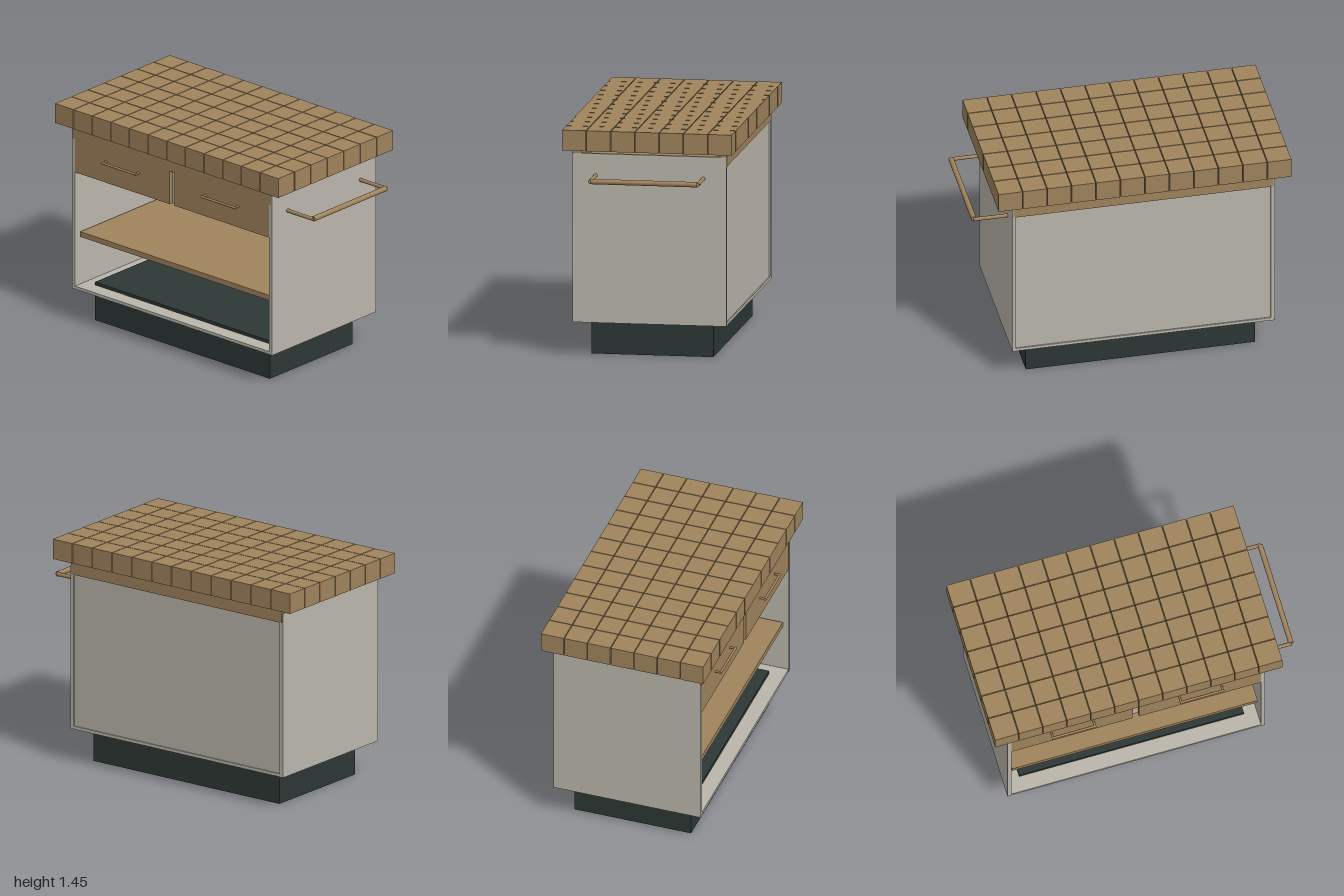
import * as THREE from 'three';

export function createModel() {
  const model = new THREE.Group();
  model.name = 'kitchenIsland';
  const mat = (name, color) => {
    const m = new THREE.MeshStandardMaterial({ color });
    m.name = name;
    return m;
  };
  const wood = mat('wood', 0x9f835c);
  const paint = mat('greyPaint', 0xbab6ab);
  const dark = mat('darkPlinth', 0x2d3735);

  const add = (name, geometry, material, x, y, z, parent = model) => {
    const mesh = new THREE.Mesh(geometry, material);
    mesh.name = name;
    mesh.position.set(x, y, z);
    parent.add(mesh);
    return mesh;
  };
  // Box given by its limits on each axis
  const box = (name, material, [x0, x1], [y0, y1], [z0, z1], parent) =>
    add(name, new THREE.BoxGeometry(x1 - x0, y1 - y0, z1 - z0), material,
      (x0 + x1) / 2, (y0 + y1) / 2, (z0 + z1) / 2, parent);
  // Round bar along one axis
  const rod = (name, axis, radius, length, x, y, z, parent) => {
    const g = new THREE.CylinderGeometry(radius, radius, length, 16);
    if (axis === 'x') g.rotateZ(Math.PI / 2);
    if (axis === 'z') g.rotateX(Math.PI / 2);
    return add(name, g, wood, x, y, z, parent);
  };

  // Plinth, rising just through the cabinet floor
  box('plinth', dark, [-0.8, 0.66], [0, 0.255], [-0.385, 0.385]);

  // Cabinet shell
  box('floorPanel', paint, [-0.88, 0.742], [0.215, 0.235], [-0.483, 0.483]);
  box('rightPanel', paint, [-0.905, -0.88], [0.215, 1.285], [-0.485, 0.485]);
  box('leftPanel', paint, [0.742, 0.767], [0.215, 1.285], [-0.485, 0.485]);
  box('backPanel', paint, [-0.88, 0.742], [0.235, 1.285], [-0.475, -0.455]);
  box('drawerDivider', paint, [-0.09, -0.05], [1.0, 1.225], [-0.455, 0.455]);
  box('shelf', wood, [-0.865, 0.73], [0.56, 0.595], [-0.45, 0.45]);

  // Rails carrying the worktop
  box('frontRail', wood, [-0.897, 0.76], [1.225, 1.316], [0.43, 0.487]);
  box('backRail', wood, [-0.897, 0.76], [1.225, 1.316], [-0.487, -0.43]);

  // Drawers with bar handles
  for (const [x0, x1] of [[-0.88, -0.09], [-0.05, 0.742]]) {
    const drawer = new THREE.Group();
    drawer.name = 'drawer';
    model.add(drawer);
    box('drawerBox', wood, [x0, x1], [1.0, 1.225], [-0.45, 0.482], drawer);
    const cx = (x0 + x1) / 2 + 0.003;
    rod('drawerHandleBar', 'x', 0.008, 0.288, cx, 1.142, 0.517, drawer);
    for (const s of [-1, 1])
      rod('drawerHandlePost', 'z', 0.007, 0.04, cx + s * 0.136, 1.142, 0.499, drawer);
  }

  // Towel bar on the left side
  const towelBar = new THREE.Group();
  towelBar.name = 'towelBar';
  model.add(towelBar);
  rod('towelRod', 'z', 0.017, 0.675, 0.98, 1.147, 0, towelBar);
  for (const s of [-1, 1])
    rod('towelArm', 'x', 0.012, 0.225, 0.87, 1.147, s * 0.34, towelBar);

  // Butcher-block worktop: 12 by 7 blocks with narrow joints
  const top = new THREE.Group();
  top.name = 'worktop';
  model.add(top);
  const nx = 12, nz = 7, gap = 0.005;
  const px = (1.865 + gap) / nx, pz = (1.07 + gap) / nz;
  const block = new THREE.BoxGeometry(px - gap, 0.13, pz - gap);
  for (let i = 0; i < nx; i++)
    for (let j = 0; j < nz; j++)
      add('worktopBlock', block, wood,
        -1 - gap / 2 + (i + 0.5) * px, 1.381, (j - (nz - 1) / 2) * pz, top);

  return model;
}
